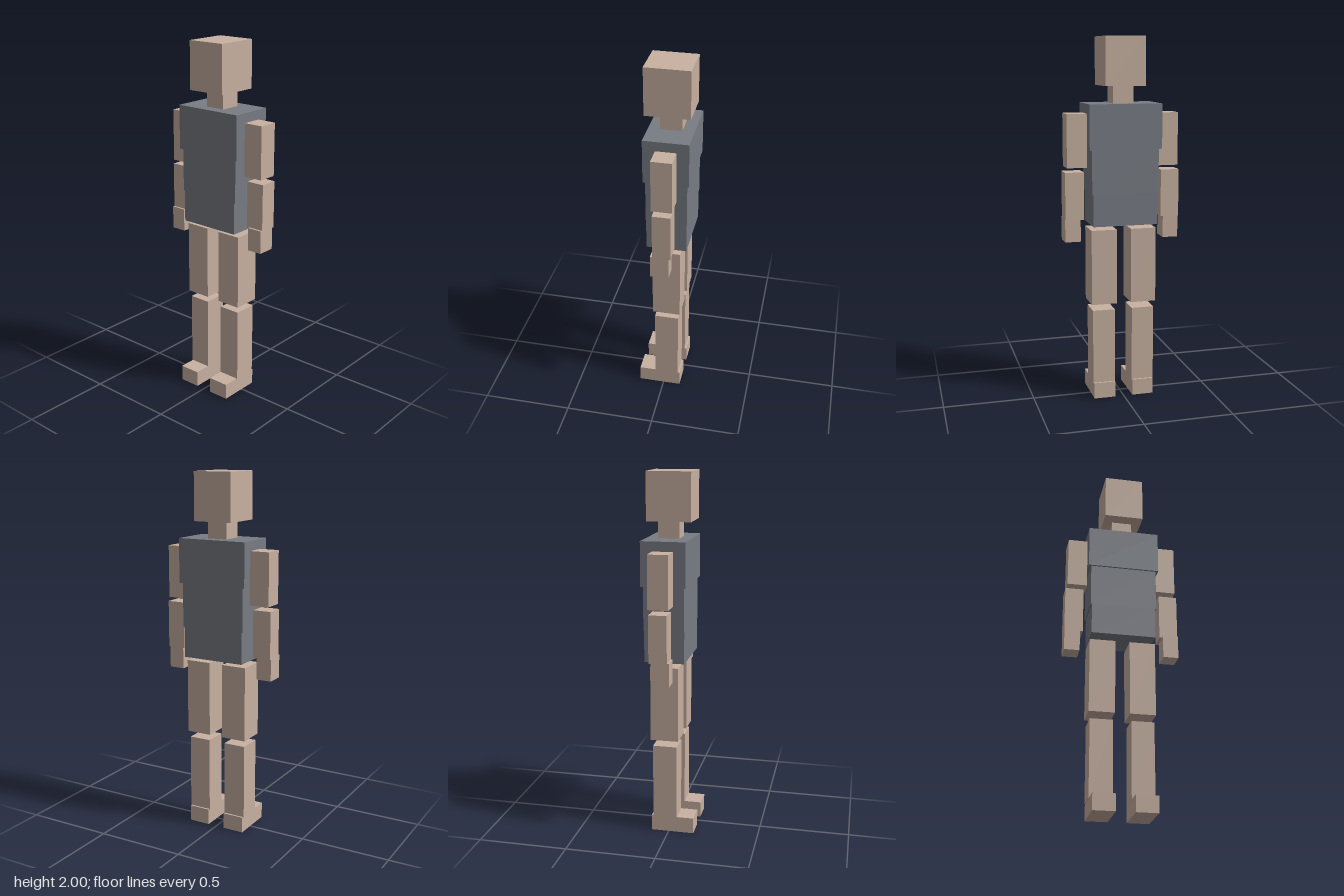
import * as THREE from 'three';

const skin = new THREE.MeshStandardMaterial({ color: 0xc8b1a1 });
skin.name = 'warm tan';
const shirt = new THREE.MeshStandardMaterial({ color: 0x787c84 });
shirt.name = 'slate grey';

// Box given by its extents along each axis
function block(name, material, [x0, x1], [y0, y1], [z0, z1]) {
  const mesh = new THREE.Mesh(new THREE.BoxGeometry(x1 - x0, y1 - y0, z1 - z0), material);
  mesh.position.set((x0 + x1) / 2, (y0 + y1) / 2, (z0 + z1) / 2);
  mesh.name = name;
  return mesh;
}

export function createModel() {
  const model = new THREE.Group();
  model.name = 'blockFigure';

  // Head and trunk
  model.add(
    block('head', skin, [-0.11, 0.11], [1.74, 2.0], [-0.133, 0.109]),
    block('neck', skin, [-0.057, 0.057], [1.64, 1.745], [-0.08, 0.037]),
    block('chest', shirt, [-0.2, 0.2], [1.405, 1.647], [-0.144, 0.099]),
    block('abdomen', shirt, [-0.185, 0.185], [1.165, 1.41], [-0.133, 0.089]),
    block('pelvis', shirt, [-0.178, 0.178], [0.99, 1.17], [-0.131, 0.089]),
  );

  // Limbs: inner and outer x, then y and z extents
  const limbs = [
    ['UpperArm', [0.2, 0.31], [1.307, 1.595], [-0.079, 0.032]],
    ['Forearm', [0.217, 0.32], [1.022, 1.282], [-0.073, 0.026]],
    ['Hand', [0.234, 0.32], [0.9, 1.028], [-0.062, 0.038]],
    ['Thigh', [0.04, 0.182], [0.547, 0.964], [-0.098, 0.057]],
    ['Shin', [0.049, 0.174], [0.085, 0.51], [-0.087, 0.047]],
    ['Foot', [0.05, 0.17], [0, 0.09], [-0.098, 0.142]],
  ];
  for (const [name, [inner, outer], y, z] of limbs) {
    model.add(block('left' + name, skin, [inner, outer], y, z));
    model.add(block('right' + name, skin, [-outer, -inner], y, z));
  }
  return model;
}
